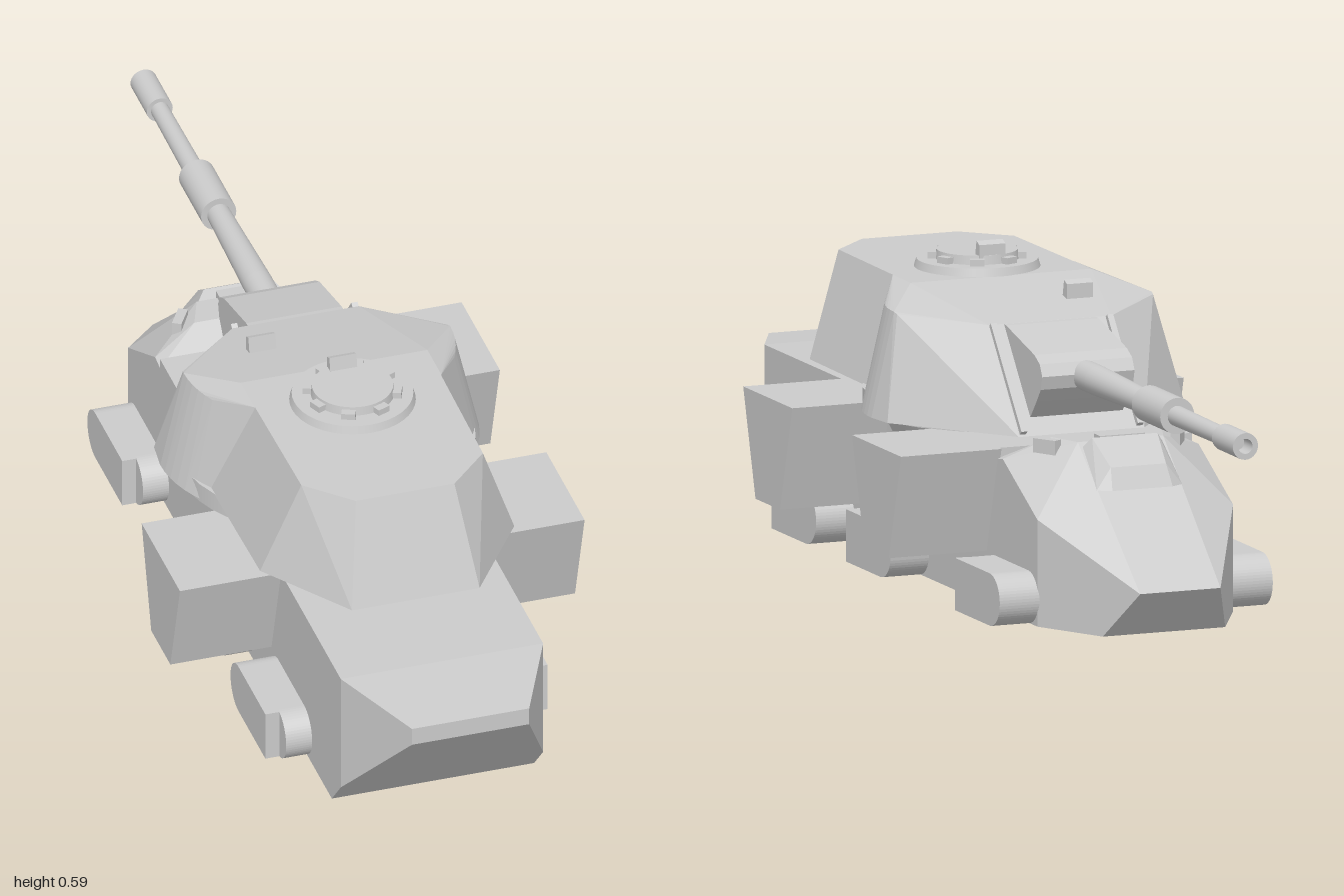
import * as THREE from 'three';
import { ConvexGeometry } from 'three/addons/geometries/ConvexGeometry.js';

const mat = new THREE.MeshStandardMaterial({ color: 0xcccccc });
const flat = new THREE.MeshStandardMaterial({ color: 0xcccccc, flatShading: true });

export function createModel() {
  const root = new THREE.Group();
  const add = (name, geo, parent = root, material = mat) => {
    const m = new THREE.Mesh(geo, material);
    m.name = name;
    parent.add(m);
    return m;
  };
  const group = (name) => {
    const g = new THREE.Group();
    g.name = name;
    root.add(g);
    return g;
  };
  // Faceted solid from half its corners, mirrored across x
  const solid = (name, half, parent) => {
    const pts = half.flatMap(([x, y, z]) => [new THREE.Vector3(x, y, z), new THREE.Vector3(-x, y, z)]);
    return add(name, new ConvexGeometry(pts), parent, flat);
  };
  // Profile in (z, y) extruded between two x positions
  const extrudeX = (shape, x0, x1) =>
    new THREE.ExtrudeGeometry(shape, { depth: x1 - x0, bevelEnabled: false, curveSegments: 14 })
      .rotateY(-Math.PI / 2).translate(x1, 0, 0);
  const poly = (pts) => new THREE.Shape(pts.map(([z, y]) => new THREE.Vector2(z, y)));
  const box = (name, w, h, d, x, y, z, parent) => {
    const m = add(name, new THREE.BoxGeometry(w, h, d), parent);
    m.position.set(x, y, z);
    return m;
  };
  const disc = (name, rTop, rBottom, y0, y1, z, parent) => {
    const m = add(name, new THREE.CylinderGeometry(rTop, rBottom, y1 - y0, 40), parent);
    m.position.set(0, (y0 + y1) / 2, z);
    return m;
  };

  // Hull body and bow
  const hull = group('hull');
  solid('hullBody', [
    [0.195, 0, 0.77], [0.195, 0.06, 0.825], [0.113, 0.235, 0.985], [0.113, 0.25, 1], [0.113, 0.285, 1],
    [0.195, 0.3, 0.825], [0.195, 0.3, -0.28], [0.195, 0, -0.28],
  ], hull);
  solid('bow', [
    [0.195, 0, -0.28], [0.195, 0.28, -0.28], [0.195, 0.285, -0.31], [0.11, 0.325, -0.34],
    [0.085, 0.325, -0.405], [0.195, 0.2, -0.475], [0.195, 0, -0.475],
    [0.08, 0.09, -0.69], [0.122, 0, -0.612],
  ], hull);
  solid('driverHatch', [
    [0.085, 0.31, -0.41], [0.065, 0.335, -0.425], [0.055, 0.29, -0.49],
    [0.085, 0.25, -0.495], [0.06, 0.25, -0.51], [0.085, 0.27, -0.41],
  ], hull);
  box('driverPeriscope', 0.09, 0.03, 0.03, 0, 0.32, -0.4, hull);
  for (const s of [-1, 1]) {
    const p = box('hullPeriscope', 0.018, 0.035, 0.05, s * 0.13, 0.31, -0.365, hull);
    p.rotation.y = s * 0.55;
  }

  // Side bins with tapered ends: two on +x, one on -x
  const bin = (zc, side) => {
    const shape = poly([[zc - 0.0585, 0.1], [zc + 0.0585, 0.1], [zc + 0.117, 0.3], [zc - 0.117, 0.3]]);
    add('sideBin', side > 0 ? extrudeX(shape, 0.19, 0.39) : extrudeX(shape, -0.39, -0.19), hull);
  };
  bin(0.343, 1);
  bin(0.343, -1);
  bin(-0.175, 1);

  // Rounded wheel pods, the outer layer cut flat at its +z end
  const pods = group('wheelPods');
  const podShape = (z0, z1, cut) => {
    const r = 0.049, s = new THREE.Shape();
    s.absarc(z0 + r, r, r, Math.PI / 2, Math.PI * 1.5);
    if (cut) {
      s.lineTo(z1 - 0.042, 0);
      s.lineTo(z1 - 0.042, 2 * r);
    } else s.absarc(z1 - r, r, r, -Math.PI / 2, Math.PI / 2);
    s.closePath();
    return s;
  };
  for (const z0 of [0.395, 0.04, -0.48]) {
    for (const s of [-1, 1]) {
      const range = (a, b) => (s > 0 ? [a, b] : [-b, -a]);
      add('wheelPod', extrudeX(podShape(z0, z0 + 0.255, false), ...range(0.19, 0.245)), pods);
      add('wheelCover', extrudeX(podShape(z0, z0 + 0.255, true), ...range(0.244, 0.272)), pods);
    }
  }

  // Turret: ring, tapered basket, rounded front body and rear bustle
  const turret = group('turret');
  disc('turretBasket', 0.252, 0.195, 0.19, 0.302, 0.09, turret);
  disc('turretRing', 0.28, 0.28, 0.299, 0.337, 0.1, turret);
  const body = [
    [0.125, 0.305, -0.22], [0.122, 0.488, -0.07], [0.295, 0.305, 0],
    [0.255, 0.497, 0.05], [0.18, 0.53, 0.165], [0.18, 0.53, 0.25],
  ];
  for (let i = 0; i <= 10; i++) {
    const a = (i / 10) * 0.87;
    body.push([0.302 * Math.cos(a), 0.305, 0.06 + 0.27 * Math.sin(a)]);
    body.push([0.257 * Math.cos(a), 0.5, 0.06 + 0.24 * Math.sin(a)]);
  }
  solid('turretBody', body, turret);
  solid('bustle', [
    [0.25, 0.335, 0.18], [0.245, 0.335, 0.49], [0.123, 0.335, 0.665],
    [0.18, 0.53, 0.18], [0.175, 0.53, 0.52], [0.095, 0.53, 0.6],
  ], turret);

  // Mantlet and gun
  const gun = group('gun');
  add('mantlet', extrudeX(poly([
    [-0.03, 0.491], [-0.08, 0.487], [-0.215, 0.455], [-0.24, 0.442], [-0.252, 0.42],
    [-0.245, 0.395], [-0.225, 0.37], [-0.195, 0.335], [-0.05, 0.335],
  ]), -0.092, 0.092), gun);
  for (const s of [-1, 1]) {
    const rail = box('frontPlateRail', 0.012, 0.012, 0.23, s * 0.116, 0.4, -0.147, gun);
    rail.rotation.x = -0.88;
  }
  const gunProfile = [
    [0, 0.2], [0.028, 0.2], [0.028, 0.3], [0.022, 0.54], [0.034, 0.54], [0.034, 0.675],
    [0.019, 0.675], [0.017, 0.9], [0.025, 0.9], [0.025, 1], [0.014, 1], [0.014, 0.96], [0, 0.96],
  ];
  // Doubled points keep the steps crisp
  const crisp = gunProfile.flatMap(([r, l]) => [new THREE.Vector2(r, l), new THREE.Vector2(r, l)]);
  const barrel = new THREE.Group();
  barrel.name = 'barrel';
  gun.add(barrel);
  for (let i = 1; i < crisp.length - 1; i += 2) {
    add('barrelSection', new THREE.LatheGeometry([crisp[i], crisp[i + 1]], 28), barrel);
  }
  barrel.rotation.x = -Math.PI / 2;
  barrel.position.y = 0.415;

  // Commander's cupola with a ring of vision blocks
  const cupola = group('cupola');
  disc('cupolaBase', 0.112, 0.118, 0.525, 0.545, 0.278, cupola);
  disc('cupolaHatch', 0.075, 0.078, 0.54, 0.562, 0.278, cupola);
  for (let i = 0; i < 8; i++) {
    const a = ((i + 0.5) / 8) * Math.PI * 2;
    const b = box('visionBlock', 0.026, 0.014, 0.016, 0.083 * Math.sin(a), 0.55, 0.278 + 0.083 * Math.cos(a), cupola);
    b.rotation.y = a;
  }
  // Leaning roof sights
  const sight = poly([[-0.01, 0], [0.012, 0], [0.004, 0.036], [-0.01, 0.03]]);
  add('cupolaSight', extrudeX(sight, -0.026, 0.026), cupola).position.set(0, 0.552, 0.215);
  add('roofSight', extrudeX(sight, -0.026, 0.026), turret).position.set(-0.1, 0.503, 0.037);
  return root;
}
